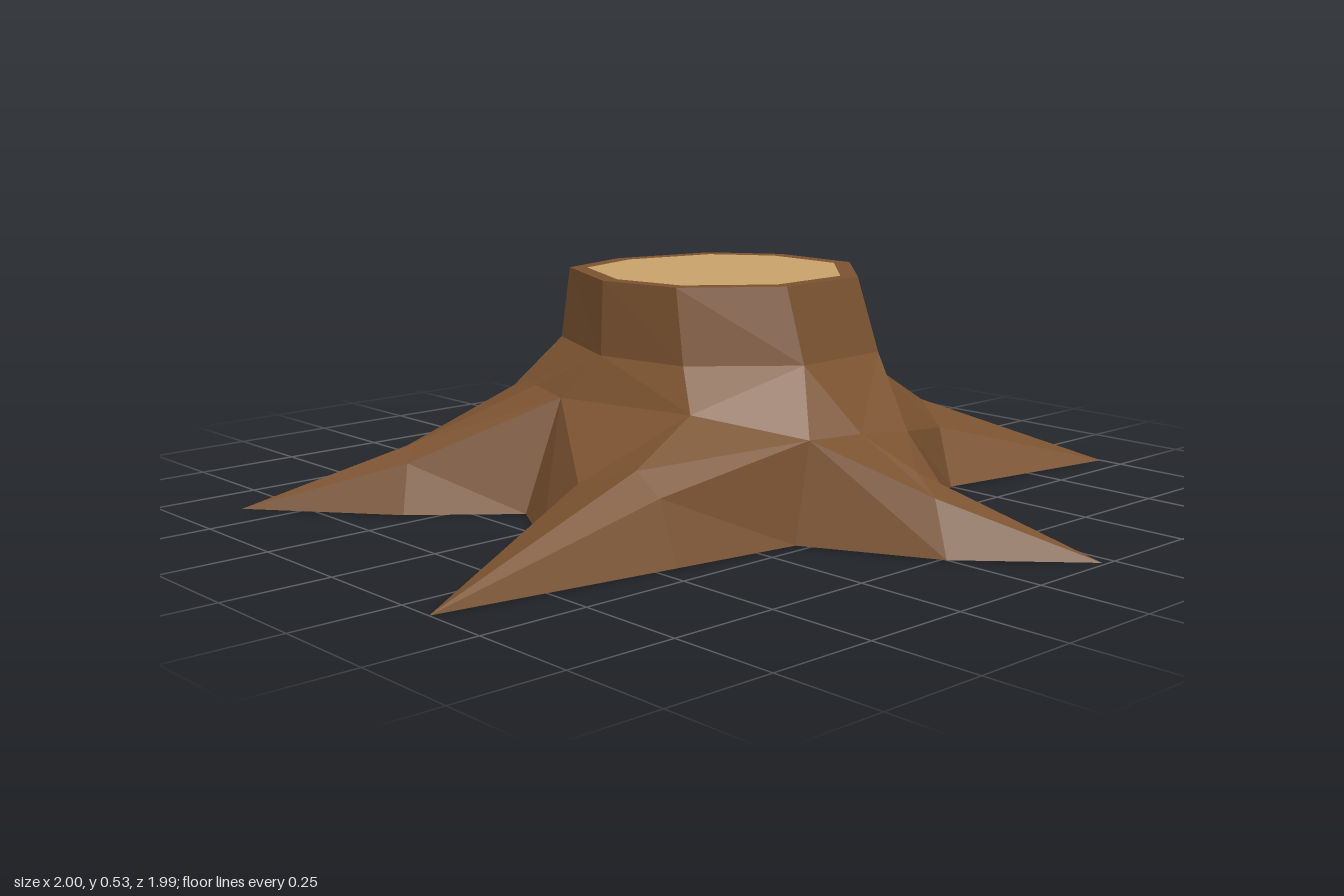
import * as THREE from 'three';

const TOP = 0.53;

// Outline of the sawn top, clockwise seen from above, starting at the back
const outline = [[0.04, -0.33], [0.29, -0.27], [0.4, -0.12], [0.4, 0.11], [0.21, 0.31],
  [-0.03, 0.32], [-0.22, 0.17], [-0.26, -0.03], [-0.16, -0.27]];
const rim = outline.map(([x, z]) => [x, TOP, z]);
// The cut face sits inside the rim; the neck flares out below it
const cut = outline.map(([x, z]) => [0.07 + (x - 0.07) * 0.88, TOP, -0.01 + (z + 0.01) * 0.88]);
const neck = outline.map(([x, z]) => [-0.2 + (x + 0.2) * 1.06, 0.36, z * 1.14]);

// A root runs from its crown on the trunk over a ridge point to its tip.
// Its two sides touch the ground halfway, and a valley with a foot follows it.
function makeRoot(crown, ridge, [tipX, tipZ], sides, valley, [footX, footZ]) {
  const ground = sides.map(([x, z]) => [x, 0, z]);
  const edge = ground.map(([x, , z]) => [
    x + (ridge[0] - x) * 0.4, ridge[1] * 0.75, z + (ridge[2] - z) * 0.4]);
  return {
    crown, valley,
    tip: [tipX, 0, tipZ],
    foot: [footX, 0, footZ],
    mid: [ground[0], edge[0], ridge, edge[1], ground[1]],
  };
}

const roots = [
  makeRoot([-0.02, 0.28, -0.45], [0.02, 0.18, -0.62], [0.04, -1],
    [[-0.11, -0.63], [0.2, -0.64]], [0.2, 0.22, -0.41], [0.3, -0.47]),
  makeRoot([0.38, 0.25, -0.31], [0.58, 0.14, -0.5], [0.84, -0.72],
    [[0.56, -0.575], [0.72, -0.38]], [0.51, 0.2, -0.19], [0.61, -0.2]),
  makeRoot([0.47, 0.27, 0.13], [0.62, 0.17, 0.16], [1, 0.44],
    [[0.8, 0.115], [0.5, 0.36]], [0.16, 0.21, 0.51], [0.14, 0.56]),
  makeRoot([0.03, 0.22, 0.49], [0.04, 0.16, 0.64], [0.22, 0.99],
    [[0.12, 0.7], [0, 0.76]], [-0.1, 0.22, 0.46], [-0.15, 0.47]),
  makeRoot([-0.27, 0.27, 0.27], [-0.46, 0.185, 0.31], [-1, 0.34],
    [[-0.45, 0.425], [-0.52, 0.07]], [-0.32, 0.26, -0.11], [-0.41, -0.13]),
  makeRoot([-0.3, 0.27, -0.23], [-0.55, 0.15, -0.36], [-0.86, -0.61],
    [[-0.62, -0.31], [-0.58, -0.48]], [-0.27, 0.25, -0.35], [-0.25, -0.39]),
];

// Unindexed triangles give every facet its own normal
function facets(triangles) {
  const geometry = new THREE.BufferGeometry();
  geometry.setAttribute('position', new THREE.Float32BufferAttribute(triangles.flat(2), 3));
  geometry.computeVertexNormals();
  return geometry;
}

const quad = (a, b, c, d) => [[a, b, c], [a, c, d]];

// Clockwise angles around the trunk axis, unwrapped and closed
function ringAngles(ring) {
  const angles = [];
  for (const [x, , z] of ring) {
    let a = Math.atan2(x - 0.07, -z);
    while (angles.length && a < angles[angles.length - 1]) a += Math.PI * 2;
    angles.push(a);
  }
  angles.push(angles[0] + Math.PI * 2);
  return angles;
}

// Joins two closed rings that may have different numbers of points
function bridge(lower, upper) {
  const la = ringAngles(lower), ua = ringAngles(upper), triangles = [];
  const n = lower.length, m = upper.length;
  for (let i = 0, j = 0; i < n || j < m;) {
    const a = lower[i % n], b = upper[j % m];
    if (j === m || (i < n && la[i + 1] < ua[j + 1])) triangles.push([a, b, lower[++i % n]]);
    else triangles.push([a, b, upper[++j % m]]);
  }
  return triangles;
}

// Joins two closed rings with the same number of points
const band = (lower, upper) => lower.flatMap((p, i) => {
  const k = (i + 1) % lower.length;
  return quad(p, upper[i], upper[k], lower[k]);
});

// Skin of one root: trunk section to mid section, then on to the tip
function rootSkin({ crown, valley, foot, mid, tip }, before) {
  const start = [before.foot, before.valley, crown, valley, foot];
  const triangles = [];
  for (let j = 0; j < 4; j++) {
    triangles.push(...quad(start[j], start[j + 1], mid[j + 1], mid[j]));
    triangles.push([mid[j], mid[j + 1], tip]);
  }
  return triangles;
}

export function createModel() {
  const group = new THREE.Group();
  group.name = 'treeStump';

  const bark = new THREE.MeshStandardMaterial({ color: 0x7a5230 });
  bark.name = 'bark';
  bark.flatShading = true;
  const wood = new THREE.MeshStandardMaterial({ color: 0xc8a26a });
  wood.name = 'cutWood';

  const add = (name, geometry, material) => {
    const mesh = new THREE.Mesh(geometry, material);
    mesh.name = name;
    group.add(mesh);
  };

  // Trunk: flared collar, neck and the bark rim round the cut
  const collar = roots.flatMap((r) => [r.crown, r.valley]);
  add('trunk', facets([...bridge(collar, neck), ...band(neck, rim)]), bark);
  add('barkRim', facets(band(rim, cut)), bark);

  // Cut face
  const cutShape = new THREE.Shape(cut.map(([x, , z]) => new THREE.Vector2(x, -z)));
  add('cutFace', new THREE.ShapeGeometry(cutShape).rotateX(-Math.PI / 2).translate(0, TOP, 0), wood);

  // Six spreading roots
  roots.forEach((root, i) => {
    add('root' + (i + 1), facets(rootSkin(root, roots.at(i - 1))), bark);
  });

  // Flat underside following the ground line of the roots
  const groundLine = roots.flatMap((r) => [r.mid[0], r.tip, r.mid[4], r.foot]);
  const baseShape = new THREE.Shape(groundLine.map(([x, , z]) => new THREE.Vector2(x, z)));
  add('underside', new THREE.ShapeGeometry(baseShape).rotateX(Math.PI / 2), bark);

  return group;
}
